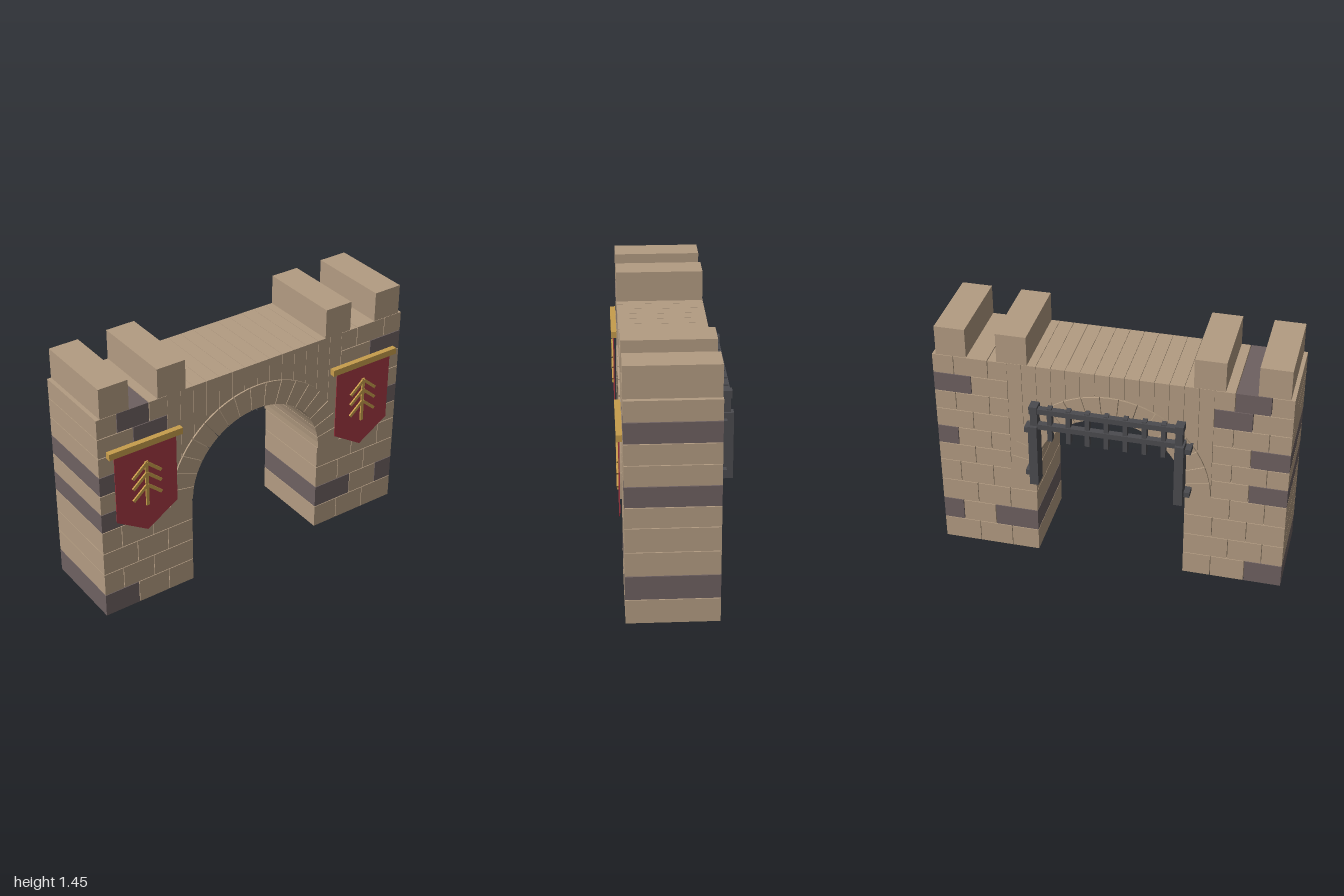
import * as THREE from 'three';

const material = (name, color) => {
  const m = new THREE.MeshStandardMaterial({ color });
  m.name = name;
  return m;
};

export function createModel() {
  const stone = material('sandstone', 0xb39c82);
  const darkStone = material('dark stone', 0x6e6161);
  const red = material('red cloth', 0xa43742);
  red.side = THREE.DoubleSide;
  const gold = material('gold', 0xc79d4c);
  const iron = material('iron', 0x4b4b4f);

  const model = new THREE.Group();
  model.name = 'castleGate';
  const group = (name, parent = model) => {
    const g = new THREE.Group();
    g.name = name;
    parent.add(g);
    return g;
  };
  const add = (parent, name, geometry, mat) => {
    const mesh = new THREE.Mesh(geometry, mat);
    mesh.name = name;
    parent.add(mesh);
    return mesh;
  };
  // Box given by its limits on each axis
  const box = (parent, name, mat, x0, x1, y0, y1, z0, z1) => {
    const mesh = add(parent, name, new THREE.BoxGeometry(Math.abs(x1 - x0), y1 - y0, z1 - z0), mat);
    mesh.position.set((x0 + x1) / 2, (y0 + y1) / 2, (z0 + z1) / 2);
    return mesh;
  };
  // Outline extruded between two depths
  const slab = (parent, name, mat, points, z0, z1) => {
    const shape = new THREE.Shape(points.map(([x, y]) => new THREE.Vector2(x, y)));
    const geometry = new THREE.ExtrudeGeometry(shape, { depth: z1 - z0, bevelEnabled: false });
    geometry.translate(0, 0, z0);
    return add(parent, name, geometry, mat);
  };

  const BACK = -0.215, FRONT = 0.285, GAP = 0.002;
  const SPRING = 0.56, TOP = 1.27, INNER = 0.43, OUTER = 0.575;

  // Brick towers: four tall courses, then six shorter ones beside the arch
  const darkBricks = {
    '-1': ['0:2', '4:2', '6:2', '8:1', '9:1'],
    '1': ['1:0', '1:2', '5:2', '8:2'],
  };
  for (const side of [-1, 1]) {
    const tower = group(side < 0 ? 'rightTower' : 'leftTower');
    for (let row = 0; row < 10; row++) {
      const y0 = row < 4 ? row * 0.14 : SPRING + (row - 4) * (TOP - SPRING) / 6;
      const y1 = row < 4 ? y0 + 0.14 : y0 + (TOP - SPRING) / 6;
      const inner = row < 4 ? INNER : OUTER;
      let cuts = row % 2 ? [inner, 0.685, 0.88, 1] : [inner, 0.59, 0.785, 1];
      // Slivers beside the arch merge into the next brick but keep its index
      if (row >= 4 && row % 2 === 0) cuts = [inner, inner, 0.785, 1];
      for (let i = 0; i < 3; i++) {
        if (cuts[i + 1] - cuts[i] < 0.01) continue;
        const dark = darkBricks[side].includes(row + ':' + i);
        const a = cuts[i] + (i ? GAP : 0), b = cuts[i + 1] - (i < 2 ? GAP : 0);
        box(tower, 'brick', dark ? darkStone : stone, side * a, side * b,
          y0 + (row ? GAP : 0), y1 - GAP, BACK, FRONT);
      }
    }
    // Battlements
    for (const [a, b] of [[0.46, 0.632], [0.805, 0.978]]) {
      box(tower, 'merlon', stone, side * a, side * b, TOP, 1.445, BACK + 0.002, FRONT);
    }
  }

  // Arch of wedge stones, standing slightly proud of the wall
  const arch = group('arch');
  const wedges = 17;
  for (let i = 0; i < wedges; i++) {
    const a0 = i * Math.PI / wedges + 0.004, a1 = (i + 1) * Math.PI / wedges - 0.004;
    const p = (r, a) => [r * Math.cos(a), SPRING + r * Math.sin(a)];
    const mid = (a0 + a1) / 2;
    slab(arch, 'archStone', stone,
      [p(INNER, a0), p(OUTER, a0), p(OUTER, mid), p(OUTER, a1), p(INNER, a1), p(INNER, mid)],
      -0.225, 0.294);
  }

  // Upright stones filling the wall above the arch
  const spandrel = group('wallAboveArch');
  const columns = 14, step = 2 * OUTER / columns;
  for (let i = 0; i < columns; i++) {
    const x0 = -OUTER + i * step + GAP / 2, x1 = x0 + step - GAP;
    const points = [[x1, TOP], [x0, TOP]];
    for (let k = 0; k <= 6; k++) {
      const x = x0 + (x1 - x0) * k / 6;
      points.push([x, SPRING - 0.004 + Math.sqrt(Math.max(0, OUTER * OUTER - x * x))]);
    }
    slab(spandrel, 'uprightStone', stone, points, BACK, FRONT);
  }

  // Pair of hanging banners
  for (const side of [-1, 1]) {
    const banner = group(side < 0 ? 'rightBanner' : 'leftBanner');
    banner.position.x = side * 0.728;
    box(banner, 'bannerRod', gold, -0.225, 0.225, 1.027, 1.065, 0.288, 0.32);
    slab(banner, 'bannerCloth', red,
      [[-0.19, 1.035], [-0.19, 0.61], [0, 0.49], [0.19, 0.61], [0.19, 1.035]], 0.302, 0.306);
    // Tree emblem: a stem with three pairs of drooping branches
    box(banner, 'emblemStem', gold, -0.009, 0.009, 0.655, 0.935, 0.306, 0.3155);
    for (const y of [0.925, 0.86, 0.785]) {
      for (const s of [-1, 1]) {
        const branch = add(banner, 'emblemBranch', new THREE.BoxGeometry(0.115, 0.018, 0.0095), gold);
        branch.position.set(s * 0.044, y - 0.037, 0.3125);
        branch.rotation.z = -s * 0.72;
      }
    }
  }

  // Raised iron gate on the back
  const gate = group('portcullis');
  for (const s of [-1, 1]) {
    box(gate, 'gatePost', iron, s * 0.385, s * 0.435, 0.555, 0.945, -0.322, -0.236);
    box(gate, 'postExtension', iron, s * 0.385, s * 0.425, 0.945, 1.03, -0.305, -0.252);
    box(gate, 'postCap', iron, s * 0.383, s * 0.43, 1.025, 1.07, -0.312, -0.248);
    for (const y of [0.59, 0.88]) {
      box(gate, 'wallBracket', iron, s * 0.42, s * 0.468, y, y + 0.032, -0.285, BACK);
    }
  }
  for (const y of [0.925, 1.025]) {
    box(gate, 'gateRail', iron, -0.4, 0.4, y, y + 0.032, -0.305, -0.268);
  }
  for (let i = -3; i <= 3; i++) {
    box(gate, 'gateBar', iron, i * 0.106 - 0.013, i * 0.106 + 0.013, 0.85, 1.065, -0.299, -0.261);
  }

  return model;
}
